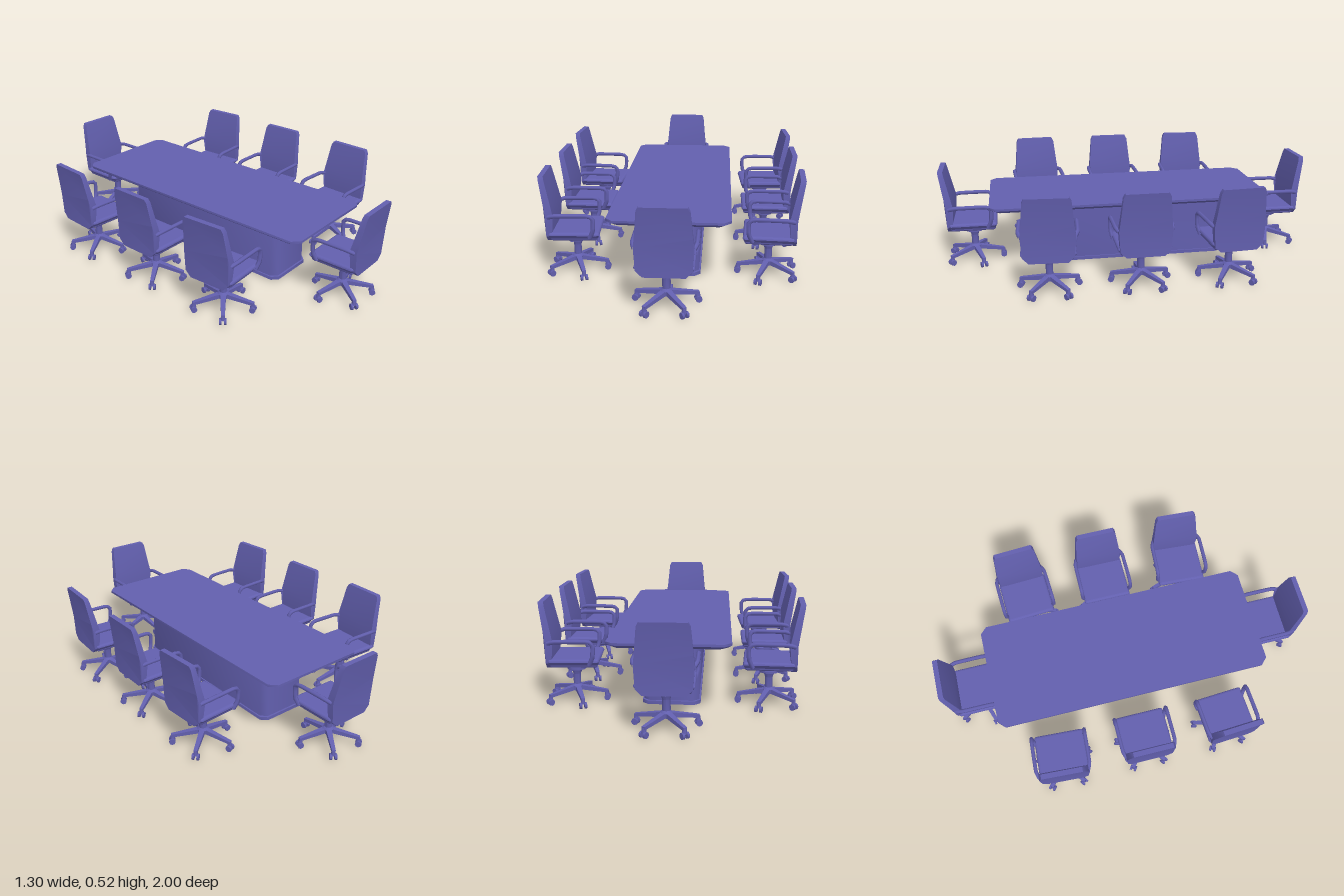
import * as THREE from 'three';
import { RoundedBoxGeometry } from 'three/addons/geometries/RoundedBoxGeometry.js';
import { toCreasedNormals } from 'three/addons/utils/BufferGeometryUtils.js';

const violet = new THREE.MeshStandardMaterial({ color: 0x625fae });
violet.name = 'violet';

function add(parent, name, geometry, x = 0, y = 0, z = 0) {
  const mesh = new THREE.Mesh(geometry, violet);
  mesh.name = name;
  mesh.position.set(x, y, z);
  parent.add(mesh);
  return mesh;
}

// Closed outline mirrored in x: half the points run bottom to top on the +x side
function mirroredShape(half) {
  const left = half.map(([x, y]) => [-x, y]).reverse();
  return new THREE.Shape([...half, ...left].map(([x, y]) => new THREE.Vector2(x, y)));
}

// Horizontal slab with cut corners, from y0 to y1, drawn in by inset at the foot
function slab(w, d, cut, y0, y1, inset) {
  const shape = mirroredShape([[w - cut, -d], [w, -d + cut], [w, d - cut], [w - cut, d]]);
  const g = new THREE.ExtrudeGeometry(shape, { depth: y1 - y0, bevelEnabled: false });
  g.rotateX(-Math.PI / 2);
  const p = g.attributes.position;
  for (let i = 0; i < p.count; i++) {
    const foot = p.getY(i) < (y1 - y0) / 2;
    const x = p.getX(i), z = p.getZ(i);
    p.setXYZ(i, x - (foot ? Math.sign(x) * inset : 0), p.getY(i) + y0, z - (foot ? Math.sign(z) * inset : 0));
  }
  return toCreasedNormals(g, 0.9);
}

// Leaning backrest, thicker near the arms
function backGeometry() {
  const shape = mirroredShape([
    [0.095, 0.195], [0.125, 0.225], [0.132, 0.33], [0.126, 0.38], [0.114, 0.505], [0.104, 0.525],
  ]);
  const g = new THREE.ExtrudeGeometry(shape, { depth: 1, bevelEnabled: false });
  const p = g.attributes.position;
  for (let i = 0; i < p.count; i++) {
    const y = p.getY(i);
    const rise = Math.max(0, y - 0.33) / 0.195;
    const rear = -0.132 - 0.03 * rise;
    const thick = y < 0.3 ? 0.028 : 0.038 - 0.012 * rise;
    p.setZ(i, rear + p.getZ(i) * thick);
  }
  return toCreasedNormals(g, 0.7);
}

// Seat pan, thinner and narrower underneath
function seatGeometry() {
  const g = new RoundedBoxGeometry(0.27, 0.045, 0.25, 2, 0.014);
  const p = g.attributes.position;
  for (let i = 0; i < p.count; i++) {
    if (p.getY(i) < 0) {
      p.setX(i, p.getX(i) * 0.9);
      p.setZ(i, p.getZ(i) * 0.94);
    }
  }
  g.computeVertexNormals();
  return g;
}

// Armrest loop running from the backrest forward and down to the seat
function armGeometry() {
  const pts = [
    [0.128, 0.325, -0.12], [0.141, 0.336, -0.08], [0.142, 0.336, 0.075],
    [0.142, 0.318, 0.1], [0.141, 0.26, 0.098], [0.13, 0.218, 0.08],
  ].map((p) => new THREE.Vector3(...p));
  const path = new THREE.CatmullRomCurve3(pts, false, 'catmullrom', 0.2);
  return new THREE.TubeGeometry(path, 16, 0.011, 6);
}

// Tapered leg pointing along +z from the hub
function legGeometry() {
  const g = new THREE.BoxGeometry(1, 1, 1);
  const p = g.attributes.position;
  for (let i = 0; i < p.count; i++) {
    const tip = p.getZ(i) > 0, s = tip ? 0.018 : 0.028;
    p.setXYZ(i, p.getX(i) * s, p.getY(i) * s * 0.85 + (tip ? 0.046 : 0.07), tip ? 0.156 : 0.01);
  }
  g.computeVertexNormals();
  return g;
}

const back = backGeometry(), seat = seatGeometry(), arm = armGeometry(), leg = legGeometry();
const column = new THREE.LatheGeometry(
  [[0, 0.052], [0.028, 0.056], [0.03, 0.078], [0.019, 0.088], [0.019, 0.14], [0.028, 0.163],
    [0.048, 0.166], [0.048, 0.178], [0.032, 0.18], [0.036, 0.206], [0, 0.206]]
    .map(([r, y]) => new THREE.Vector2(r, y)), 10);
const columnSharp = toCreasedNormals(column, 0.7);
const casterStem = new THREE.CylinderGeometry(0.009, 0.013, 0.024, 6);
const casterWheel = new THREE.CylinderGeometry(0.016, 0.016, 0.011, 8).rotateZ(Math.PI / 2);

// Swivel chair facing +z
function makeChair() {
  const chair = new THREE.Group();
  chair.name = 'chair';
  add(chair, 'backrest', back);
  add(chair, 'seat', seat, 0, 0.222, 0.002);
  const rightArm = add(chair, 'leftArmrest', arm);
  rightArm.name = 'leftArmrest';
  // Opposite arm is the same tube built with mirrored scale
  add(chair, 'rightArmrest', arm).scale.x = -1;
  add(chair, 'column', columnSharp);
  for (let i = 0; i < 5; i++) {
    const spoke = new THREE.Group();
    spoke.name = 'starLeg';
    spoke.rotation.y = (i * Math.PI * 2) / 5;
    add(spoke, 'leg', leg);
    add(spoke, 'casterStem', casterStem, 0, 0.036, 0.15);
    for (const s of [-1, 1]) add(spoke, 'casterWheel', casterWheel, s * 0.012, 0.016, 0.152);
    chair.add(spoke);
  }
  return chair;
}

export function createModel() {
  const model = new THREE.Group();
  model.name = 'conferenceTableSet';

  // Table
  const table = new THREE.Group();
  table.name = 'table';
  add(table, 'tableTop', slab(0.293, 0.745, 0.035, 0.358, 0.37, 0));
  add(table, 'tableTopUnderside', slab(0.293, 0.745, 0.035, 0.343, 0.358, 0.02));
  add(table, 'pedestal', slab(0.138, 0.52, 0.03, 0.02, 0.345, 0));
  add(table, 'plinth', slab(0.145, 0.53, 0.03, 0.006, 0.024, 0));
  model.add(table);

  // Three chairs along each side, angled slightly toward the middle
  for (const side of [-1, 1]) {
    for (const row of [-1, 0, 1]) {
      const chair = makeChair();
      chair.position.set(side * 0.483, 0, row * 0.46);
      chair.rotation.y = -side * (Math.PI / 2 - row * 0.06 * -1);
      model.add(chair);
    }
  }

  // One chair at each end
  for (const end of [-1, 1]) {
    const chair = makeChair();
    chair.position.z = end * 0.838;
    chair.rotation.y = end > 0 ? Math.PI : 0;
    model.add(chair);
  }
  return model;
}
